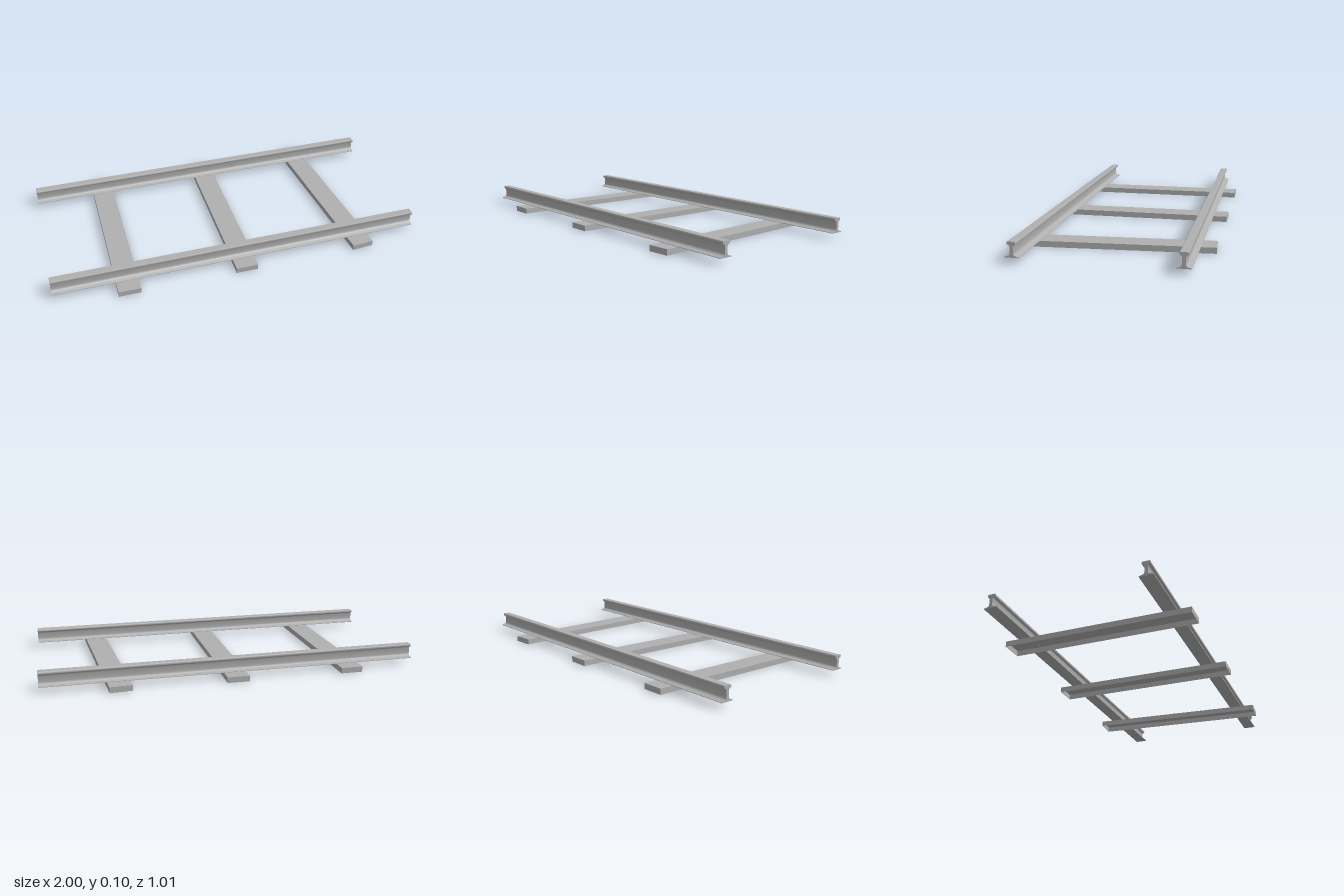
import * as THREE from 'three';
import { toCreasedNormals } from 'three/addons/utils/BufferGeometryUtils.js';

const RAIL_LENGTH = 2;
const TIE = { width: 0.117, height: 0.03, length: 1 };

// Half of the rail section as [half width, height], from foot to head
const HALF_SECTION = [
  [0.035, 0.0295], [0.035, 0.032], [0.021, 0.036], [0.013, 0.039], [0.009, 0.044],
  [0.008, 0.051], [0.008, 0.082], [0.009, 0.086], [0.013, 0.089], [0.019, 0.091],
  [0.0205, 0.094], [0.0205, 0.102], [0.018, 0.105],
];

function railGeometry() {
  const right = HALF_SECTION.map(([w, h]) => new THREE.Vector2(w, h));
  const left = HALF_SECTION.map(([w, h]) => new THREE.Vector2(-w, h)).reverse();
  const geometry = new THREE.ExtrudeGeometry(new THREE.Shape([...right, ...left]), {
    depth: RAIL_LENGTH, bevelEnabled: false,
  });
  geometry.translate(0, 0, -RAIL_LENGTH / 2).rotateY(Math.PI / 2);
  return toCreasedNormals(geometry, 0.7);
}

// Hollow tie: a box without its underside
function tieGeometry() {
  const geometry = new THREE.BoxGeometry(TIE.width, TIE.height, TIE.length);
  const index = Array.from(geometry.index.array);
  index.splice(18, 6);
  geometry.setIndex(index);
  geometry.clearGroups();
  return geometry.translate(0, TIE.height / 2, 0);
}

export function createModel() {
  const model = new THREE.Group();
  model.name = 'railTrack';

  const grey = new THREE.MeshStandardMaterial({ color: 0xb0b0b0, side: THREE.DoubleSide });
  grey.name = 'grey';

  // Two parallel rails
  const rail = railGeometry();
  for (const [name, z] of [['frontRail', 0.392], ['backRail', -0.392]]) {
    const mesh = new THREE.Mesh(rail, grey);
    mesh.name = name;
    mesh.position.z = z;
    model.add(mesh);
  }

  // Three ties, the last one knocked askew
  const tie = tieGeometry();
  for (const [name, x, turn] of [
    ['rightTie', -0.618, 0], ['middleTie', 0.006, 0], ['leftTie', 0.637, 0.065],
  ]) {
    const mesh = new THREE.Mesh(tie, grey);
    mesh.name = name;
    mesh.position.x = x;
    mesh.rotation.y = turn;
    model.add(mesh);
  }

  return model;
}
